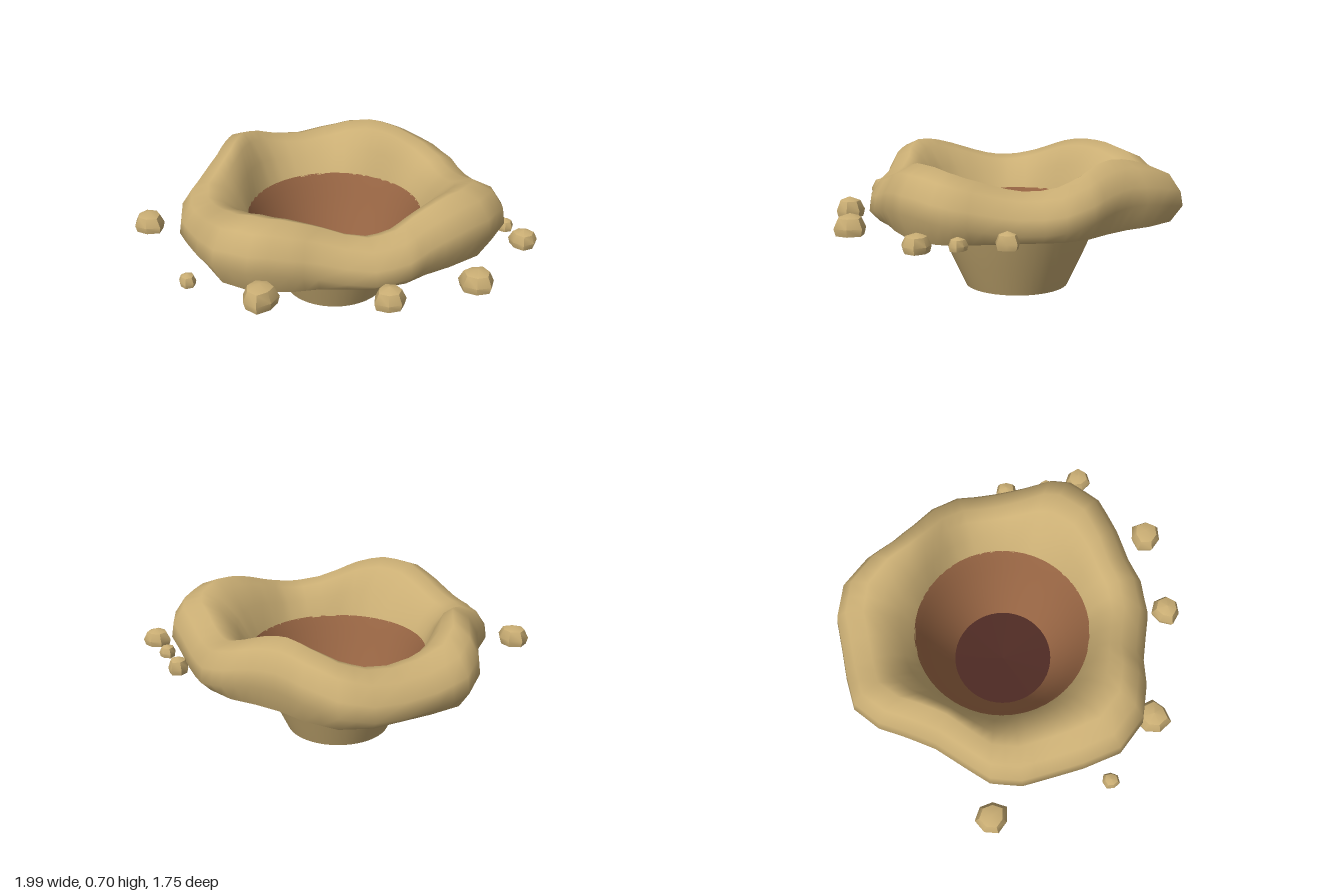
import * as THREE from 'three';
import { toCreasedNormals } from 'three/addons/utils/BufferGeometryUtils.js';

const soil = new THREE.MeshStandardMaterial({ color: 0xcaae74, side: THREE.DoubleSide });
soil.name = 'drySoil';
const clay = new THREE.MeshStandardMaterial({ color: 0x996644 });
clay.name = 'redClay';
const dark = new THREE.MeshStandardMaterial({ color: 0x4f2b24, side: THREE.DoubleSide });
dark.name = 'darkEarth';

// Axis of the pit
const CX = -0.01, CZ = -0.04;

// Plan outline of the mound, clockwise from the back
const OUTLINE = [
  [-0.02, -0.87], [0.14, -0.79], [0.26, -0.69], [0.38, -0.62], [0.51, -0.56], [0.62, -0.46],
  [0.70, -0.28], [0.77, -0.12], [0.83, 0.0], [0.835, 0.10], [0.76, 0.27], [0.62, 0.40],
  [0.50, 0.49], [0.41, 0.58], [0.26, 0.65], [0, 0.68], [-0.13, 0.72], [-0.31, 0.74],
  [-0.48, 0.67], [-0.59, 0.52], [-0.67, 0.38], [-0.74, 0.26], [-0.77, 0.11], [-0.735, -0.02],
  [-0.69, -0.18], [-0.675, -0.33], [-0.665, -0.47], [-0.60, -0.62], [-0.46, -0.71], [-0.18, -0.855],
];

function mesh(name, geometry, material) {
  const m = new THREE.Mesh(geometry, material);
  m.name = name;
  return m;
}

function lathe(points, segments) {
  return new THREE.LatheGeometry(points.map(([r, y]) => new THREE.Vector2(r, y)), segments);
}

// Wavy ring of soil: one cross-section per outline point, with four humps
function moundGeometry() {
  const pos = [], idx = [];
  const ring = [];
  OUTLINE.forEach(([x, z], i) => {
    const [nx, nz] = OUTLINE[(i + 1) % OUTLINE.length];
    ring.push([x, z], [(x + nx) / 2, (z + nz) / 2]);
  });
  let rows = 0;
  for (const [x, z] of ring) {
    const a = Math.atan2(z - CZ, x - CX);
    const R = Math.hypot(x - CX, z - CZ);
    const wave = Math.cos(4 * (a - 0.39));
    const h = 0.65 + 0.055 * wave;
    const bulge = 0.46 + 0.04 * wave;
    const up = (t) => bulge + t * (h - bulge);
    const inner = (t) => 0.438 + t * (0.81 * R - 0.438);
    const drop = (t) => 0.43 + t * (h - 0.43);
    const section = [
      [0.935 * R, 0.38], [R, bulge], [0.985 * R, up(0.4)], [0.92 * R, up(0.82)], [0.81 * R, h],
      [inner(0.65), drop(0.88)], [inner(0.28), drop(0.5)], [inner(0), 0.43],
    ];
    rows = section.length;
    for (const [r, y] of section) pos.push(CX + r * Math.cos(a), y, CZ + r * Math.sin(a));
  }
  for (let i = 0; i < ring.length; i++) {
    const n = (i + 1) % ring.length;
    for (let j = 0; j < rows - 1; j++) {
      const a = i * rows + j, b = n * rows + j;
      idx.push(a, a + 1, b, a + 1, b + 1, b);
    }
  }
  const g = new THREE.BufferGeometry();
  g.setAttribute('position', new THREE.Float32BufferAttribute(pos, 3));
  g.setIndex(idx);
  g.computeVertexNormals();
  return g;
}

// Lumpy dome with a flat base
function clodGeometry(r, h, seed) {
  const g = lathe([[0, 0], [0.88 * r, 0], [r, 0.35 * h], [0.72 * r, 0.8 * h], [0, h]], 7);
  const p = g.attributes.position;
  for (let i = 0; i < p.count; i++) {
    const a = Math.atan2(p.getZ(i), p.getX(i));
    const k = 1 + 0.07 * Math.sin(3 * a + seed) + 0.05 * Math.sin(2 * a + 2 * seed);
    p.setXYZ(i, p.getX(i) * k, p.getY(i), p.getZ(i) * k);
  }
  return toCreasedNormals(g, 0.75);
}

export function createModel() {
  const model = new THREE.Group();
  model.name = 'pit';

  // Pit: inner wall, outer shell and floor
  const wall = [[0.258, 0.02], [0.33, 0.175], [0.39, 0.315], [0.415, 0.38], [0.44, 0.435]];
  const inside = mesh('pitWall', lathe([...wall].reverse(), 48), clay);
  const shell = mesh('pitShell', lathe(wall.map(([r, y]) => [r + 0.003, y - 0.003]), 48), soil);
  const floor = mesh('pitFloor', lathe([[0.26, 0.02], [0, 0]], 48), dark);
  for (const part of [inside, shell, floor]) {
    part.position.set(CX, 0, CZ);
    model.add(part);
  }

  model.add(mesh('mound', moundGeometry(), soil));

  // Scattered clods: x, z, radius, height
  const clods = [
    [-0.92, 0.16, 0.078, 0.095], [-0.60, 0.66, 0.042, 0.06], [-0.245, 0.785, 0.084, 0.11],
    [0.32, 0.73, 0.073, 0.10], [0.70, 0.54, 0.08, 0.10], [0.93, 0.12, 0.066, 0.085],
    [0.85, -0.035, 0.042, 0.06], [0.765, -0.23, 0.054, 0.08],
  ];
  clods.forEach(([x, z, r, h], i) => {
    const clod = mesh('clod' + (i + 1), clodGeometry(r, h, i * 1.7), soil);
    clod.position.set(x, 0.38, z);
    clod.rotation.y = i * 0.9;
    model.add(clod);
  });
  return model;
}
